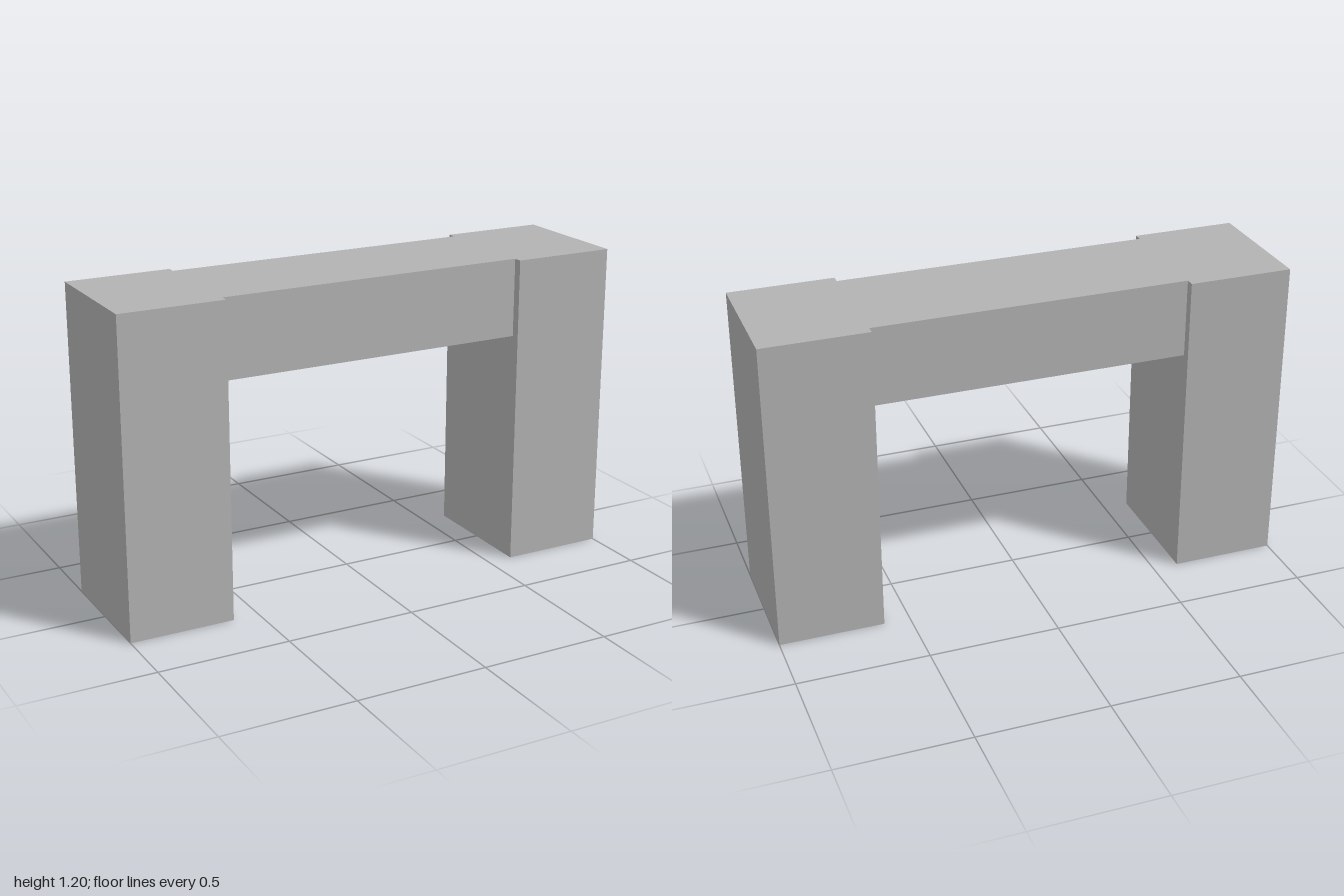
import * as THREE from 'three';

// Box shell that keeps only the listed sides (0 +x, 1 -x, 2 +y, 3 -y, 4 +z, 5 -z)
function shell(width, height, depth, sides) {
  const geometry = new THREE.BoxGeometry(width, height, depth);
  const index = Array.from(geometry.index.array);
  geometry.setIndex(sides.flatMap((s) => index.slice(s * 6, s * 6 + 6)));
  geometry.clearGroups();
  return geometry;
}

export function createModel() {
  const group = new THREE.Group();
  const grey = new THREE.MeshStandardMaterial({ color: 0xb2b2b2, side: THREE.DoubleSide });
  grey.name = 'grey';

  const add = (name, geometry, x, y) => {
    const mesh = new THREE.Mesh(geometry, grey);
    mesh.name = name;
    mesh.position.set(x, y, 0);
    group.add(mesh);
  };

  // Two hollow pedestals, open at the bottom
  for (const side of [-1, 1]) {
    add(side > 0 ? 'leftPedestal' : 'rightPedestal',
      shell(0.4, 1.2, 0.5, [0, 1, 2, 4, 5]), side * 0.8, 0.6);
  }

  // Bridge: top with front and back aprons, open below
  add('bridge', shell(1.2, 0.3, 0.434, [2, 4, 5]), 0, 1.05);

  return group;
}
